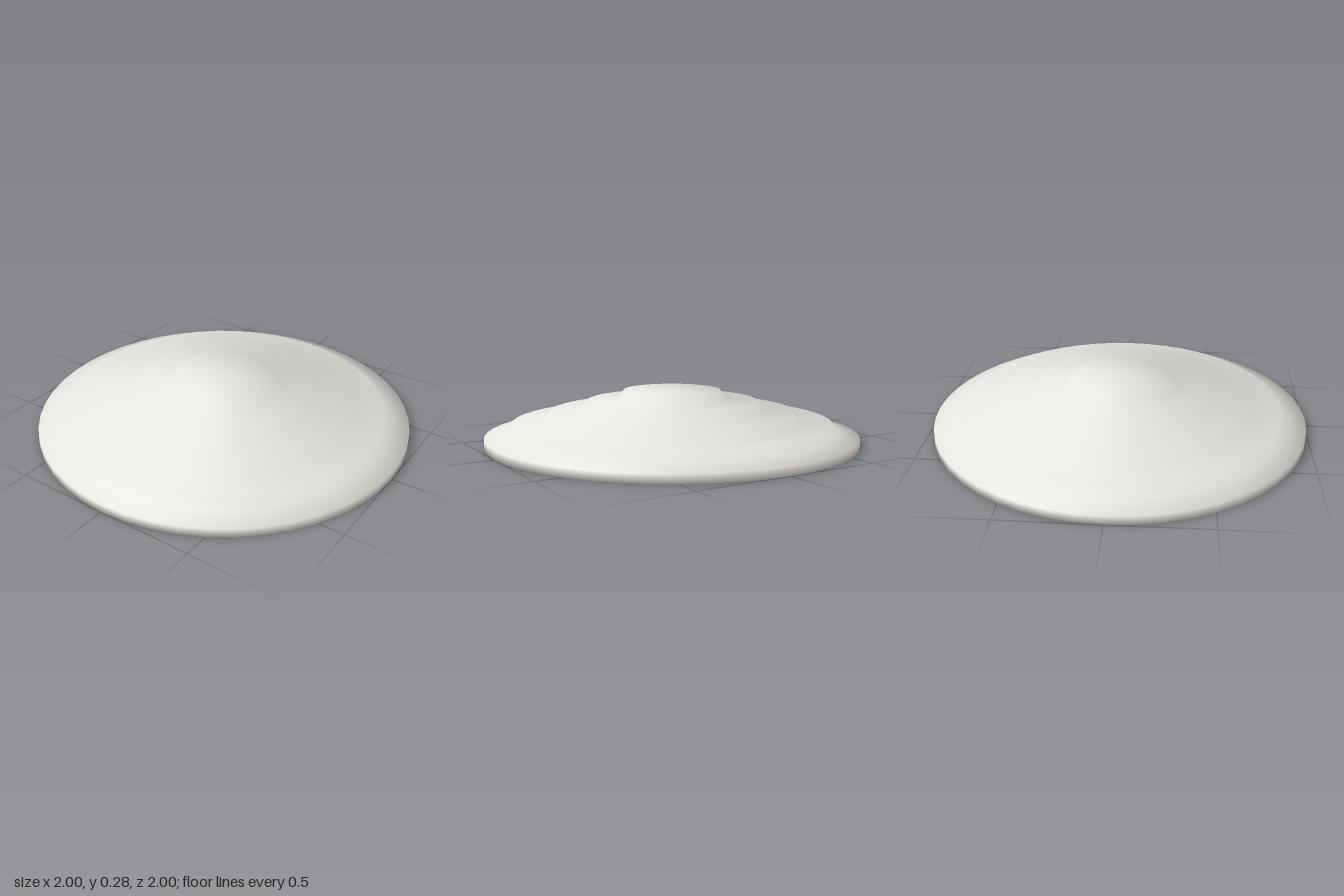
import * as THREE from 'three';

const SEGMENTS = 48;

// Lathe whose shading blends neighbouring bands evenly, whatever their width
function softLathe(points) {
  const geometry = new THREE.LatheGeometry(points, SEGMENTS);
  const bands = points.slice(1).map((p, j) => {
    const d = p.clone().sub(points[j]).normalize();
    return new THREE.Vector2(d.y, -d.x);
  });
  const normals = points.map((p, j) => {
    const below = bands[Math.max(j - 1, 0)];
    const above = bands[Math.min(j, bands.length - 1)];
    return below.clone().add(above).normalize();
  });
  for (let i = 0; i <= SEGMENTS; i++) {
    const angle = (i / SEGMENTS) * Math.PI * 2;
    normals.forEach((n, j) => geometry.attributes.normal.setXYZ(
      i * points.length + j, n.x * Math.sin(angle), n.y, n.x * Math.cos(angle)));
  }
  return geometry;
}

// Round stepped mound: a broad rim carrying four tiers, turned as one smooth solid.
export function createModel() {
  const group = new THREE.Group();
  group.name = 'steppedDisc';

  // Closed underside and thin outer rim
  const profile = [[0, 0], [1, 0], [1, 0.045]];

  // Tiers: each has a sloped riser, then a flat tread up to the next foot
  const feet = [[0.9, 0.068], [0.7, 0.11], [0.5, 0.165], [0.3, 0.22]];
  feet.forEach(([radius, y], i) => {
    const top = i < feet.length - 1 ? feet[i + 1][1] : 0.276;
    profile.push([radius, y], [radius - 0.04, top]);
  });

  // Flat top
  profile.push([0, 0.276]);

  const disc = new THREE.Mesh(
    softLathe(profile.map(([r, y]) => new THREE.Vector2(r, y))),
    new THREE.MeshStandardMaterial({ color: 0xe6e4de })
  );
  disc.name = 'tieredDisc';
  group.add(disc);
  return group;
}
